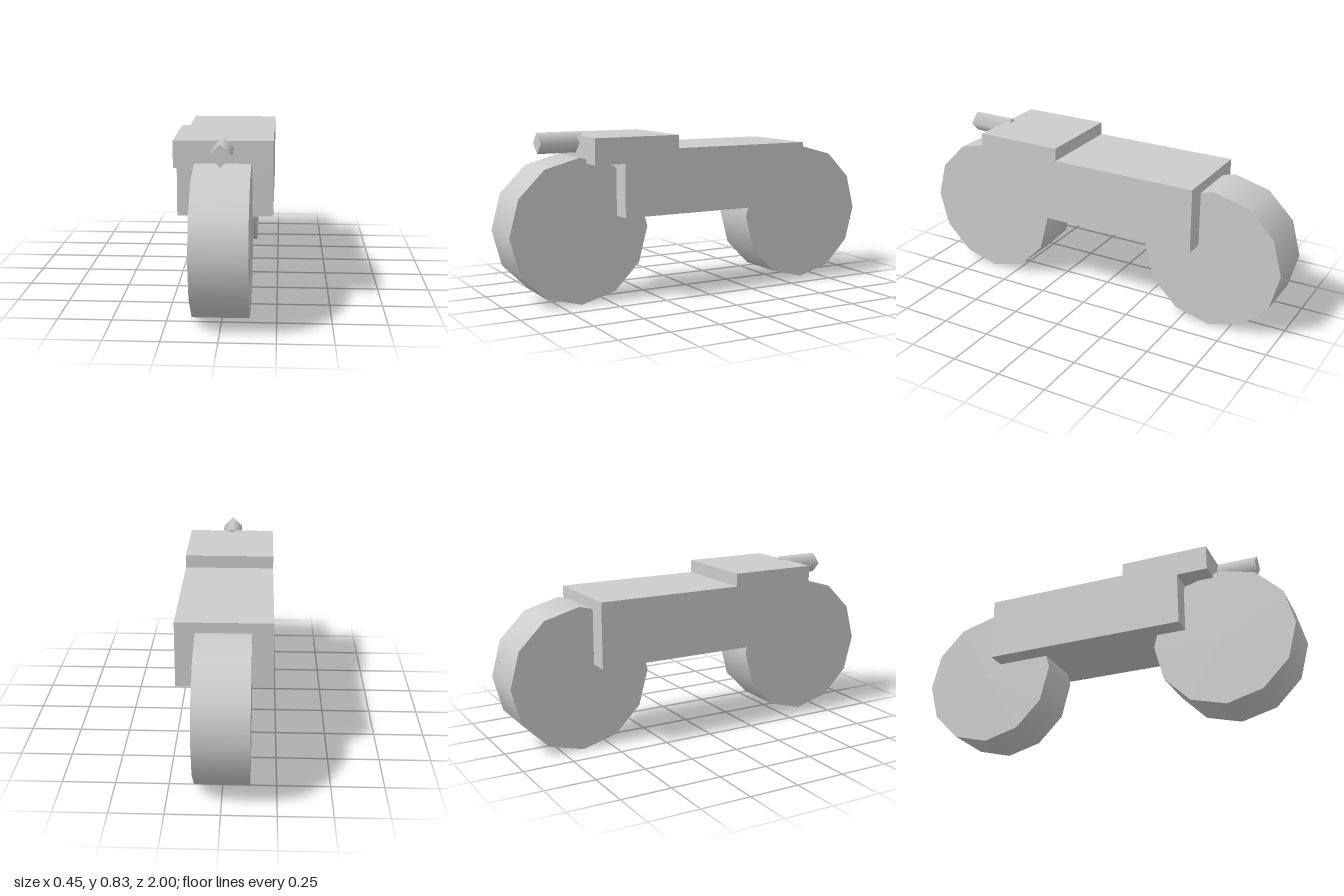
import * as THREE from 'three';

export function createModel() {
  const model = new THREE.Group();
  const grey = new THREE.MeshStandardMaterial({ color: 0xcccccc });
  grey.name = 'light grey';

  const add = (name, geometry, x, y, z) => {
    const mesh = new THREE.Mesh(geometry, grey);
    mesh.name = name;
    mesh.position.set(x, y, z);
    model.add(mesh);
    return mesh;
  };

  // Twelve-sided wheels, axle along x
  const wheel = new THREE.CylinderGeometry(0.355, 0.355, 0.257, 12).rotateZ(Math.PI / 2);
  add('frontWheel', wheel, 0, 0.355, 0.645);
  add('rearWheel', wheel, 0, 0.355, -0.645);

  // Stepped body: side profile as (z, y), extruded across the width
  const width = 0.454;
  const profile = new THREE.Shape([
    [-0.578, 0.42], [0.455, 0.42], [0.455, 0.68], [0.61, 0.68],
    [0.61, 0.807], [0.165, 0.807], [0.165, 0.742], [-0.578, 0.742],
  ].map(([z, y]) => new THREE.Vector2(z, y)));
  const body = new THREE.ExtrudeGeometry(profile, { depth: width, bevelEnabled: false });
  body.translate(0, 0, -width / 2).rotateY(-Math.PI / 2);
  add('body', body, 0, 0, 0);

  // Four-sided headlamp barrel, set on edge into the front of the body
  const lamp = new THREE.CylinderGeometry(0.051, 0.051, 0.228, 4).rotateX(Math.PI / 2);
  add('headlamp', lamp, 0, 0.775, 0.694);

  return model;
}
